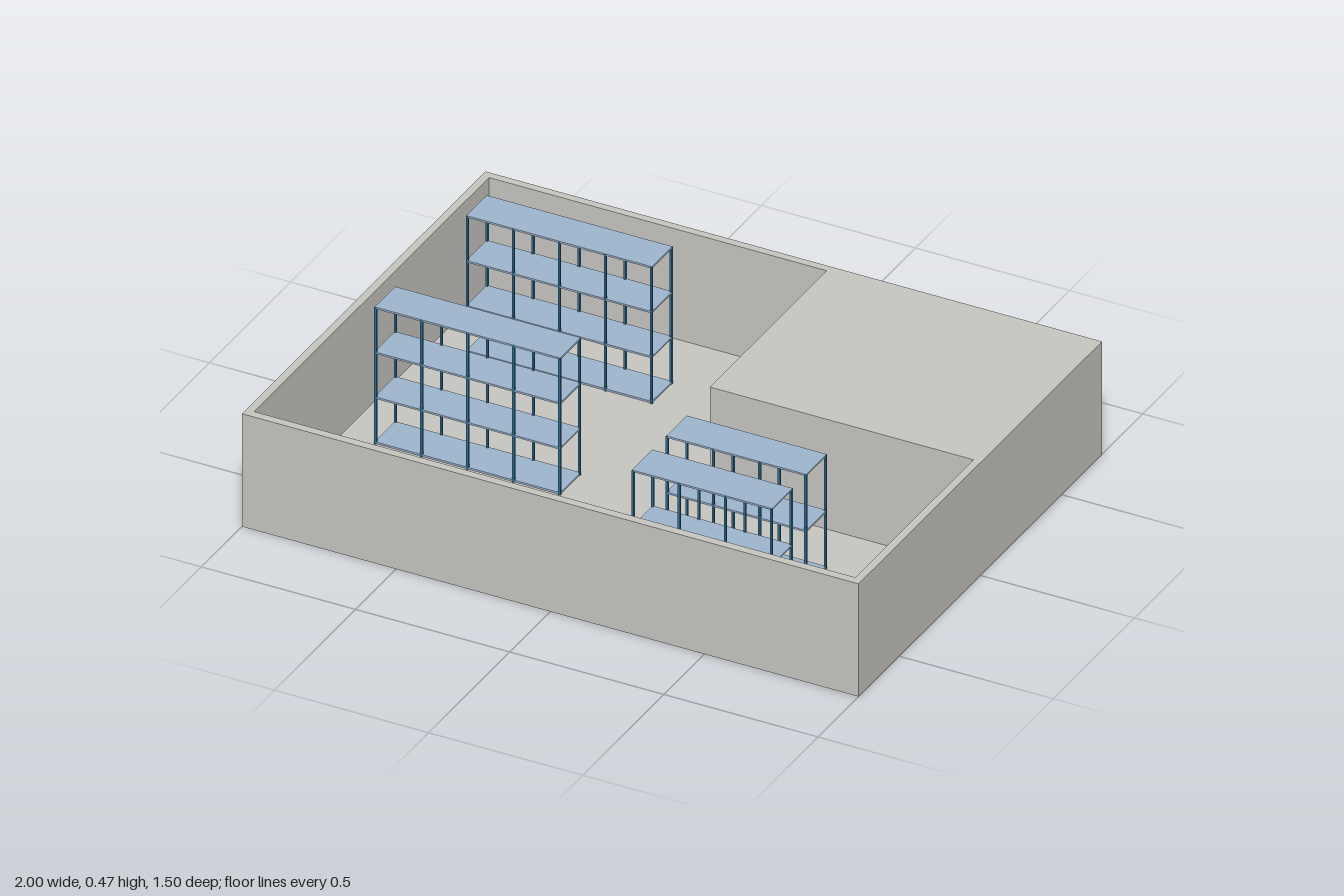
import * as THREE from 'three';

const concrete = new THREE.MeshStandardMaterial({ name: 'warm grey', color: 0xc8c6c1 });
const shelfBlue = new THREE.MeshStandardMaterial({ name: 'pale blue', color: 0x9fb6ce });
const postBlue = new THREE.MeshStandardMaterial({ name: 'steel blue', color: 0x2f6c91 });

const FLOOR = 0.01, WALL_TOP = 0.38;

function box(name, w, h, d, x, y, z, material) {
  const mesh = new THREE.Mesh(new THREE.BoxGeometry(w, h, d), material);
  mesh.name = name;
  mesh.position.set(x, y, z);
  return mesh;
}

// Outer block with an L-shaped room cut out of it
function createWalls() {
  const corners = (points) => points.map(([x, z]) => new THREE.Vector2(x, -z));
  const shape = new THREE.Shape(corners([[-1, 0.75], [1, 0.75], [1, -0.75], [-1, -0.75]]));
  shape.holes.push(new THREE.Path(corners([
    [-0.975, 0.723], [-0.975, -0.725], [0.12, -0.725],
    [0.12, -0.005], [0.975, -0.005], [0.975, 0.723],
  ])));
  const geometry = new THREE.ExtrudeGeometry(shape, { depth: WALL_TOP - FLOOR, bevelEnabled: false });
  geometry.rotateX(-Math.PI / 2);
  const mesh = new THREE.Mesh(geometry, concrete);
  mesh.name = 'walls';
  mesh.position.y = FLOOR;
  return mesh;
}

// Open rack: evenly spaced pairs of posts and stacked shelves
function createRack(name, x0, x1, z0, z1, top, bays, levels) {
  const rack = new THREE.Group();
  rack.name = name;
  const t = 0.007;
  for (let i = 0; i <= bays; i++) {
    const x = x0 + t / 2 + ((x1 - x0 - t) * i) / bays;
    for (const z of [z0 + t / 2, z1 - t / 2]) {
      rack.add(box('post', t, top - FLOOR, t, x, (top + FLOOR) / 2, z, postBlue));
    }
  }
  const base = FLOOR + 0.008;
  for (let i = 0; i < levels; i++) {
    const y = base + ((top + 0.001 - base) * i) / (levels - 1);
    rack.add(box('shelf', x1 - x0 - 0.002, 0.006, z1 - z0 - 0.002,
      (x0 + x1) / 2, y - 0.003, (z0 + z1) / 2, shelfBlue));
  }
  return rack;
}

export function createModel() {
  const model = new THREE.Group();
  model.name = 'storageRoom';
  model.add(createWalls());
  model.add(box('floor', 2, FLOOR, 1.5, 0, FLOOR / 2, 0, concrete));

  // Two tall racks on the right side, two low racks in the left front wing
  model.add(createRack('tallRackBack', -0.867, -0.263, -0.505, -0.377, 0.471, 4, 4));
  model.add(createRack('tallRackFront', -0.867, -0.263, 0.06, 0.188, 0.471, 4, 4));
  model.add(createRack('lowRackBack', 0.145, 0.601, 0.186, 0.314, 0.395, 3, 3));
  model.add(createRack('lowRackFront', 0.145, 0.601, 0.397, 0.525, 0.395, 3, 3));
  return model;
}
